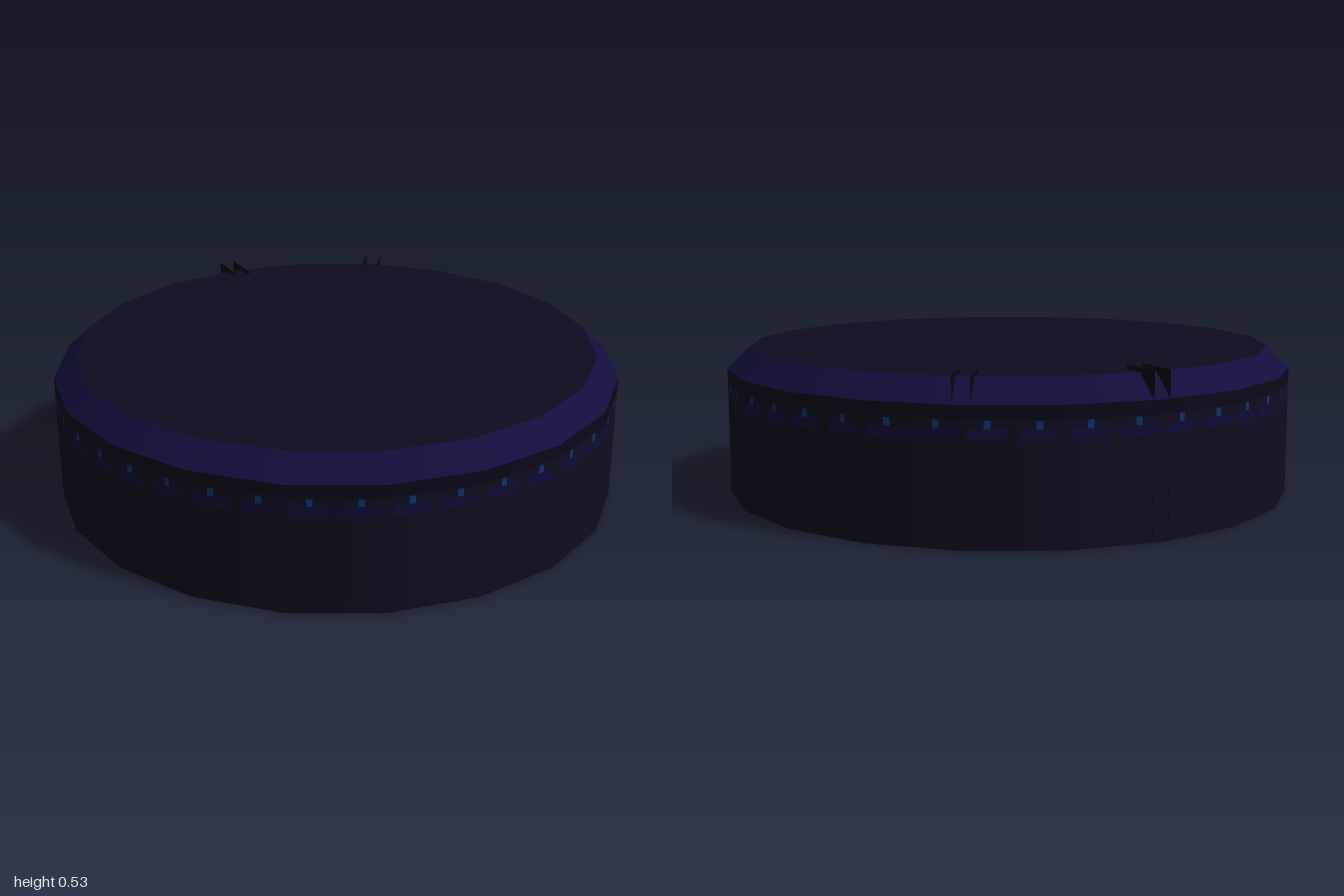
import * as THREE from 'three';

const SIDES = 20;
const APOTHEM = Math.cos(Math.PI / SIDES);

const paint = (name, color, double = false) => {
  const m = new THREE.MeshStandardMaterial({ color });
  m.name = name;
  if (double) m.side = THREE.DoubleSide;
  return m;
};

export function createModel() {
  const group = new THREE.Group();
  const hullPaint = paint('midnight hull', 0x0d0d20);
  const topPaint = paint('midnight lid', 0x0c0c1f);
  const rimPaint = paint('indigo rim', 0x100f3c);
  const trimPaint = paint('black trim', 0x08081a);
  const glowPaint = paint('indigo glow', 0x0f0d36);
  const lampPaint = paint('blue lamp', 0x10306c);
  const ringPaint = paint('dark teal', 0x0a2a2e);
  const arcPaint = paint('teal light', 0x14504c);
  const bracketPaint = paint('black bracket', 0x05050f, true);

  const add = (name, geometry, material, parent = group) => {
    const mesh = new THREE.Mesh(geometry, material);
    mesh.name = name;
    parent.add(mesh);
    return mesh;
  };

  // Stacked twenty-sided sections of the drum
  const section = (name, rTop, rBottom, y0, y1, material) => {
    const g = new THREE.CylinderGeometry(rTop, rBottom, y1 - y0, SIDES, 1, true);
    add(name, g, material).position.y = (y0 + y1) / 2;
  };
  section('drumWall', 1, 1, 0.002, 0.4, hullPaint);
  section('trimBand', 1, 1, 0.4, 0.445, trimPaint);
  section('bevelledRim', 0.922, 1, 0.445, 0.52, rimPaint);

  // Flat discs and rings; dir is 1 for facing up, -1 for facing down
  const flat = (name, geometry, material, y, dir) => {
    const mesh = add(name, geometry, material);
    mesh.rotation.x = -dir * Math.PI / 2;
    mesh.position.y = y;
    return mesh;
  };
  const polygon = (r) => new THREE.CircleGeometry(r, SIDES);
  flat('lid', polygon(0.922), topPaint, 0.52, 1);
  flat('underside', polygon(1), hullPaint, 0.002, -1);

  // Lamps and their glow, two on every wall facet
  for (let i = 0; i < SIDES; i++) {
    const facet = new THREE.Group();
    facet.name = 'lampFacet';
    facet.rotation.y = (i + 0.5) * 2 * Math.PI / SIDES;
    group.add(facet);
    for (const x of [-0.078, 0.078]) {
      const glow = add('lampGlow', new THREE.PlaneGeometry(0.12, 0.035), glowPaint, facet);
      glow.position.set(x, 0.355, APOTHEM + 0.002);
      const lamp = add('lamp', new THREE.PlaneGeometry(0.02, 0.026), lampPaint, facet);
      lamp.position.set(x, 0.385, APOTHEM + 0.003);
    }
  }

  // Underside: centre ring, circle of spots and two light arcs
  flat('centreRing', new THREE.RingGeometry(0.128, 0.285, 32), ringPaint, 0, -1);
  for (let i = 0; i < 12; i++) {
    const a = (i + 0.5) * Math.PI / 6;
    const spot = flat('undersideSpot', new THREE.CircleGeometry(0.05, 16), glowPaint, 0, -1);
    spot.position.x = 0.48 * Math.cos(a);
    spot.position.z = 0.48 * Math.sin(a);
  }
  for (const a of [0.607, 0.607 + Math.PI]) {
    flat('lightArc', new THREE.RingGeometry(0.695, 0.715, 12, 1, a - 0.33, 0.66), arcPaint, 0, -1);
  }

  // Two rear brackets, each a pair of thin upright cheeks set radially
  for (const side of [-1, 1]) {
    const bracket = new THREE.Group();
    bracket.name = 'rearBracket';
    bracket.rotation.y = Math.PI + side * Math.PI / 10;
    group.add(bracket);
    for (const x of [-0.029, 0.029]) {
      const cheek = add('bracketCheek', new THREE.PlaneGeometry(0.157, 0.533), bracketPaint, bracket);
      cheek.rotation.y = Math.PI / 2;
      cheek.position.set(x, 0.2685, 0.9185);
    }
  }
  return group;
}
